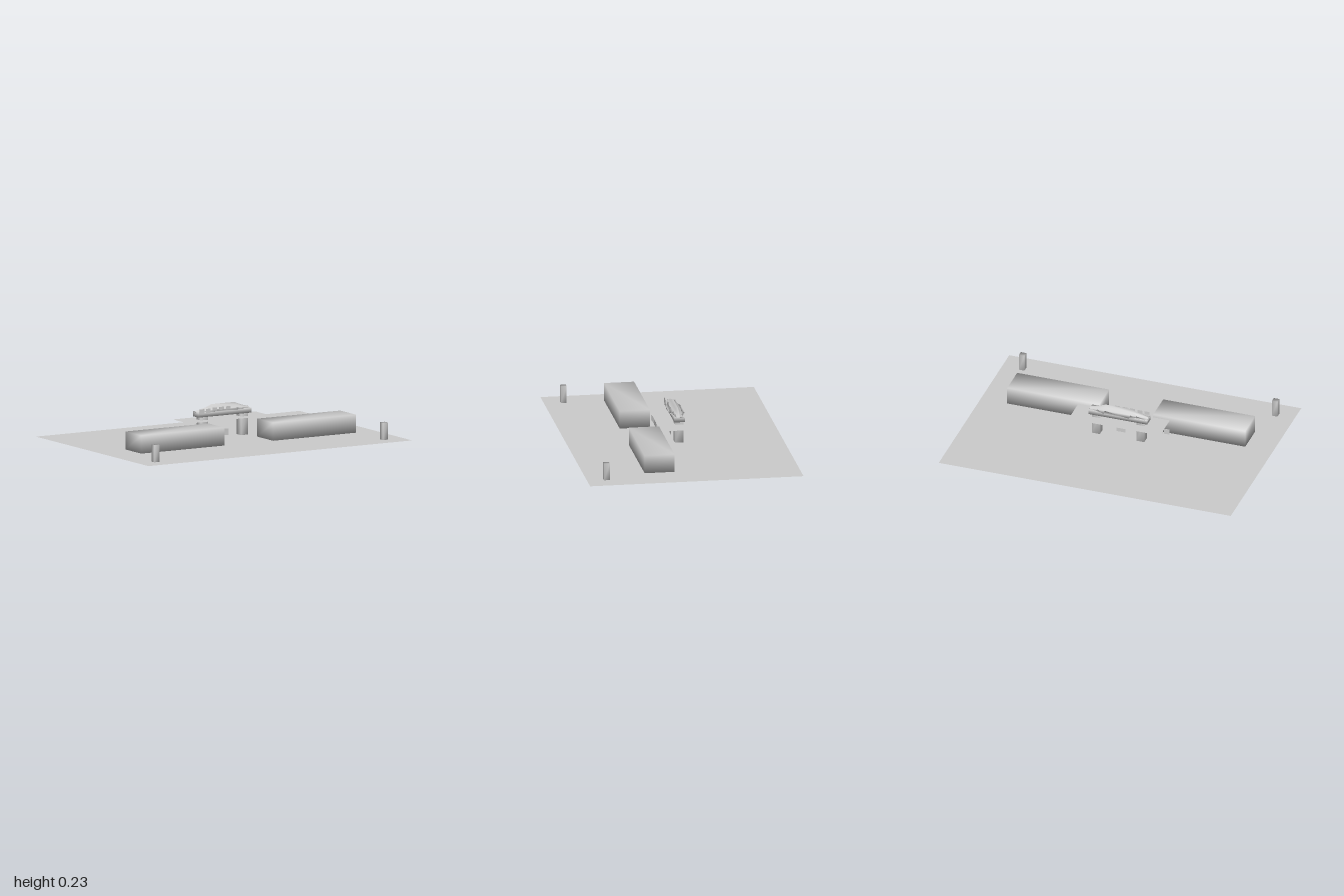
import * as THREE from 'three';
import { mergeVertices } from 'three/addons/utils/BufferGeometryUtils.js';

export function createModel() {
  const model = new THREE.Group();
  const grey = new THREE.MeshStandardMaterial({ color: 0xcccccc, side: THREE.DoubleSide });
  grey.name = 'plainGrey';

  const add = (name, geometry, x = 0, y = 0, z = 0) => {
    const mesh = new THREE.Mesh(geometry, grey);
    mesh.name = name;
    mesh.position.set(x, y, z);
    model.add(mesh);
    return mesh;
  };

  // Box given by its limits, with normals shared across the corners
  const softBox = (name, x0, x1, y0, y1, z0, z1) => {
    let g = new THREE.BoxGeometry(x1 - x0, y1 - y0, z1 - z0);
    g.deleteAttribute('uv');
    g.deleteAttribute('normal');
    g = mergeVertices(g);
    g.computeVertexNormals();
    return add(name, g, (x0 + x1) / 2, (y0 + y1) / 2, (z0 + z1) / 2);
  };

  // Thin upright plate
  const plate = (name, x, y, z, w, h) =>
    add(name, new THREE.BoxGeometry(w, h, 0.003), x, y, z);

  // Ground sheet
  add('ground', new THREE.PlaneGeometry(2, 1.4).rotateX(-Math.PI / 2), 0, 0.002, 0);

  // Paving and canopy: two layers of three by two panels
  for (const [name, y] of [['pavingPanel', 0.005], ['canopyPanel', 0.137]]) {
    for (let i = 0; i < 3; i++) {
      for (let j = 0; j < 2; j++) {
        add(name, new THREE.PlaneGeometry(0.209, 0.098).rotateX(-Math.PI / 2),
          -0.211 + i * 0.209, y, -0.071 + j * 0.098);
      }
    }
  }

  // Long side blocks and corner posts
  softBox('rightBlock', -0.818, -0.188, 0.015, 0.133, 0.115, 0.312);
  softBox('leftBlock', 0.182, 0.812, 0.015, 0.133, 0.115, 0.312);
  softBox('rightPost', -0.888, -0.85, 0, 0.114, 0.552, 0.59);
  softBox('leftPost', 0.845, 0.883, 0, 0.114, 0.552, 0.59);

  // Gate legs and lintel
  softBox('rightLeg', -0.182, -0.128, 0.015, 0.165, -0.045, 0.009);
  softBox('leftLeg', 0.123, 0.177, 0.015, 0.165, -0.045, 0.009);
  softBox('lintel', -0.204, 0.197, 0.158, 0.19, -0.054, 0.016);

  // Hipped roof with hollow-curved slopes: [x, half depth, ridge height]
  const stations = [
    [-0.204, 0.035, 0.197], [-0.125, 0.036, 0.215], [-0.085, 0.05, 0.232],
    [0.09, 0.05, 0.232], [0.14, 0.036, 0.212], [0.197, 0.035, 0.197],
  ];
  const section = [[-1, 0], [-0.5, 0.26], [-0.2, 0.62], [0, 1], [0.2, 0.62], [0.5, 0.26], [1, 0]];
  const eave = 0.188, n = section.length;
  const points = [], faces = [];
  stations.forEach(([x, half, top], s) => {
    for (const [u, v] of section) points.push(x, eave + v * (top - eave), -0.02 + u * half);
    if (s === 0) return;
    for (let k = 0; k < n; k++) {
      const k2 = (k + 1) % n;
      const a = (s - 1) * n + k, b = (s - 1) * n + k2, c = s * n + k, d = s * n + k2;
      faces.push(a, b, d, a, d, c);
    }
  });
  const last = (stations.length - 1) * n;
  for (let k = 1; k < n - 1; k++) {
    faces.push(0, k + 1, k);
    faces.push(last, last + k, last + k + 1);
  }
  const roof = new THREE.BufferGeometry();
  roof.setAttribute('position', new THREE.Float32BufferAttribute(points, 3));
  roof.setIndex(faces);
  roof.computeVertexNormals();
  add('roof', roof);

  // Plates on the gate front
  for (const x of [-0.178, -0.13]) plate('eavePlate', x, 0.194, 0.018, 0.034, 0.034);
  for (const x of [-0.08, -0.029, 0.022]) plate('roofPlate', x, 0.205, 0.016, 0.034, 0.02);
  plate('hangingPlate', -0.003, 0.047, 0.011, 0.06, 0.042);

  // Row of plates before the right block
  for (let i = 0; i < 5; i++) plate('rowPlate', -0.1 - i * 0.048, 0.043, 0.082, 0.036, 0.036);

  return model;
}
